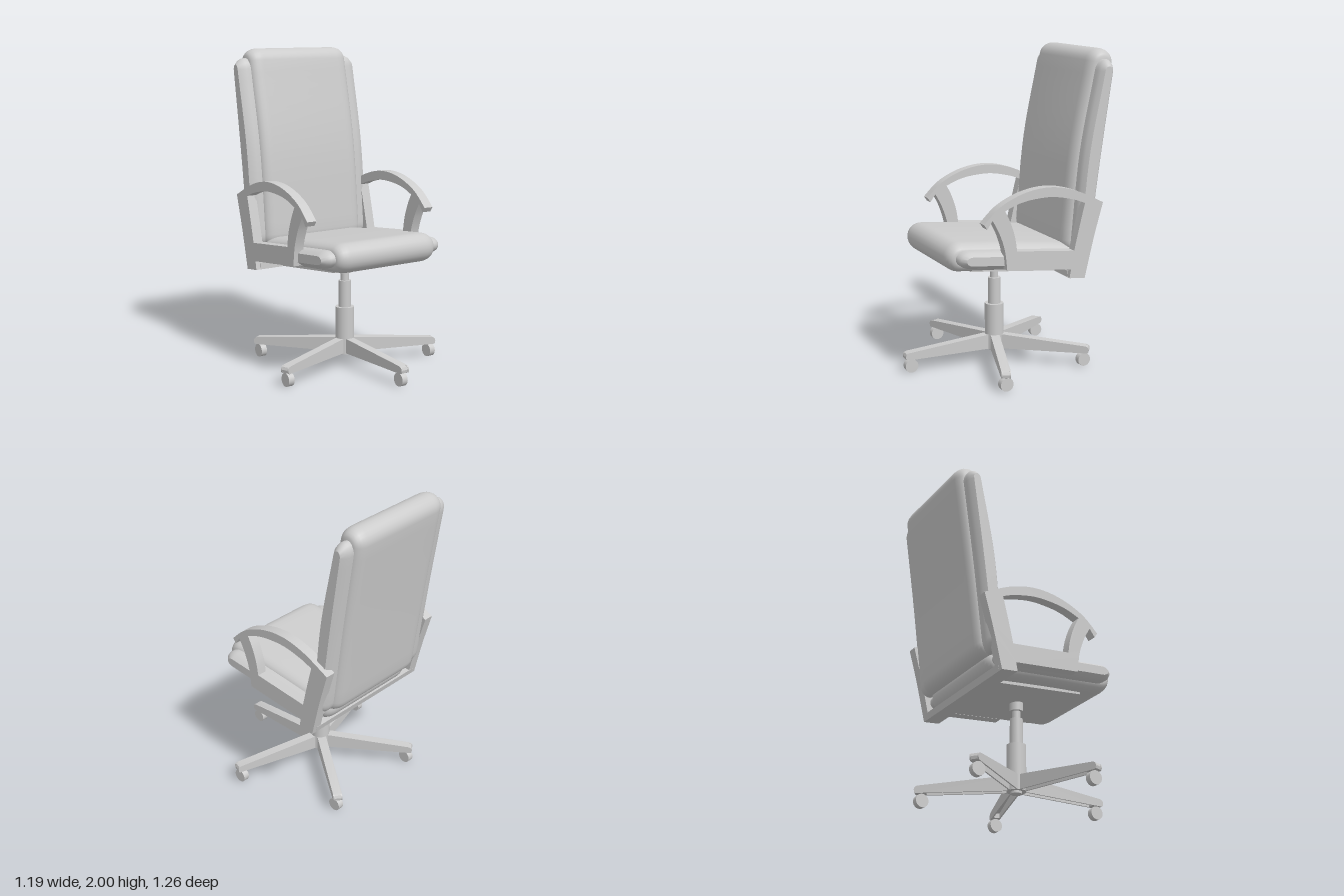
import * as THREE from 'three';
import { toCreasedNormals } from 'three/addons/utils/BufferGeometryUtils.js';

const material = new THREE.MeshStandardMaterial({ color: 0xcccccc });

function add(parent, name, geometry, x = 0, y = 0, z = 0) {
  const mesh = new THREE.Mesh(geometry, material);
  mesh.name = name;
  mesh.position.set(x, y, z);
  parent.add(mesh);
  return mesh;
}

// Closed (z, y) outline around a centre line of [z, y, halfThickness], with round or stretched ends.
// Returns centre and offset vectors so that the outline can be inset.
function outline(path, stretch) {
  const curve = new THREE.CatmullRomCurve3(path.map(([z, y, h]) => new THREE.Vector3(z, y, h)));
  const N = 14, CAP = 12, pts = [];
  const station = t => {
    const p = curve.getPoint(t), d = curve.getTangent(t), l = Math.hypot(d.x, d.y);
    return { p, tz: d.x / l, ty: d.y / l };
  };
  const push = (t, a) => {
    const { p, tz, ty } = station(t);
    const c = Math.cos(a), s = Math.sin(a) * stretch;
    pts.push({ z: p.x, y: p.y, h: p.z, dz: -ty * c + tz * s, dy: tz * c + ty * s });
  };
  for (let i = 0; i < N; i++) push(i / N, 0);
  for (let i = 0; i < CAP; i++) push(1, Math.PI * i / CAP);
  for (let i = N; i > 0; i--) push(i / N, Math.PI);
  for (let i = 0; i < CAP; i++) push(0, Math.PI + Math.PI * i / CAP);
  return pts;
}

// Skin through copies of an outline; each layer is [x, inset]. A large inset closes the end.
function padGeometry(path, layers, stretch = 1) {
  const ring = outline(path, stretch), n = ring.length, pos = [], index = [];
  for (const [x, inset] of layers) {
    for (const p of ring) {
      const r = Math.max(0, p.h - inset);
      pos.push(x, p.y + p.dy * r, p.z + p.dz * r);
    }
  }
  for (let j = 0; j < layers.length - 1; j++) {
    for (let i = 0; i < n; i++) {
      const a = j * n + i, b = j * n + (i + 1) % n;
      index.push(a, a + n, b, b, a + n, b + n);
    }
  }
  // Turn the faces outward if the outline runs the other way round
  let area = 0;
  ring.forEach((p, i) => {
    const q = ring[(i + 1) % n];
    const [z1, y1, z2, y2] = [p.z + p.dz * p.h, p.y + p.dy * p.h, q.z + q.dz * q.h, q.y + q.dy * q.h];
    area += y1 * z2 - y2 * z1;
  });
  if (area > 0) for (let i = 0; i < index.length; i += 3) [index[i + 1], index[i + 2]] = [index[i + 2], index[i + 1]];
  const g = new THREE.BufferGeometry();
  g.setAttribute('position', new THREE.Float32BufferAttribute(pos, 3));
  g.setIndex(index);
  return toCreasedNormals(g, 0.7);
}

// Extrude a (z, y) shape across x, centred on x = 0
function sideExtrude(shape, width) {
  const g = new THREE.ExtrudeGeometry(shape, { depth: width, bevelEnabled: false, curveSegments: 10 });
  g.translate(0, 0, -width / 2);
  g.rotateY(-Math.PI / 2);
  return toCreasedNormals(g, 0.5);
}

const vecs = list => list.map(([a, b]) => new THREE.Vector2(a, b));

function addPad(parent, name, path, wingPath) {
  const half = [[0.29, 0], [0.315, 0.003], [0.335, 0.009], [0.352, 0.019], [0.364, 0.031], [0.37, 0.045], [0.37, 1]];
  const layers = [...half.map(([x, d]) => [-x, d]).reverse(), ...half];
  add(parent, name + 'Cushion', padGeometry(path, layers));
  // Slimmer side bolsters with a chamfered outer edge
  const wing = [[0.33, 1], [0.33, 0], [0.4, 0], [0.425, 0.008], [0.45, 0.026], [0.45, 1]];
  add(parent, name + 'LeftBolster', padGeometry(wingPath, wing, 1.5));
  add(parent, name + 'RightBolster', padGeometry(wingPath, wing.map(([x, d]) => [-x, d]).reverse(), 1.5));
}

function armGeometry() {
  const s = new THREE.Shape();
  s.moveTo(0.3, 1.01);
  s.splineThru(vecs([[0.19, 1.11], [0.03, 1.18], [-0.14, 1.2], [-0.31, 1.165], [-0.495, 1.08]]));
  s.splineThru(vecs([[-0.435, 0.865], [-0.375, 0.615]]));
  s.lineTo(-0.27, 0.625);
  s.lineTo(-0.28, 0.68);
  s.lineTo(0.15, 0.72);
  s.splineThru(vecs([[0.165, 0.84], [0.2, 0.945], [0.245, 1.03]]));
  s.lineTo(0.28, 0.98);
  const hole = new THREE.Path();
  hole.moveTo(0.165, 1.08);
  hole.splineThru(vecs([[0.08, 1.115], [-0.02, 1.135], [-0.15, 1.14], [-0.285, 1.115], [-0.37, 1.085]]));
  hole.splineThru(vecs([[-0.335, 0.945], [-0.3, 0.795]]));
  hole.lineTo(0.085, 0.83);
  hole.splineThru(vecs([[0.1, 0.92], [0.13, 1.01], [0.165, 1.08]]));
  s.holes.push(hole);
  return sideExtrude(s, 0.065);
}

// Star-base leg: an upside-down channel pointing to +z
function makeLeg() {
  const leg = new THREE.Group();
  const wall = new THREE.Shape();
  wall.moveTo(0.02, 0.085);
  wall.lineTo(0.02, 0.18);
  wall.lineTo(0.07, 0.178);
  wall.lineTo(0.59, 0.132);
  wall.quadraticCurveTo(0.615, 0.128, 0.615, 0.108);
  wall.quadraticCurveTo(0.615, 0.085, 0.6, 0.085);
  const top = new THREE.Shape(vecs([[0.02, 0.16], [0.02, 0.18], [0.07, 0.178], [0.59, 0.132], [0.608, 0.125],
    [0.615, 0.108], [0.612, 0.09], [0.6, 0.085], [0.54, 0.085], [0.54, 0.115]]));
  for (const x of [-0.024, 0.024]) add(leg, 'legWall', sideExtrude(wall, 0.009), x);
  add(leg, 'legTop', sideExtrude(top, 0.046));
  return leg;
}

export function createModel() {
  const chair = new THREE.Group();
  chair.name = 'officeChair';

  // Upholstery
  addPad(chair, 'backrest',
    [[-0.385, 0.82, 0.088], [-0.45, 1.37, 0.098], [-0.545, 1.915, 0.085]],
    [[-0.39, 0.83, 0.053], [-0.452, 1.37, 0.062], [-0.537, 1.865, 0.05]]);
  addPad(chair, 'seat',
    [[-0.32, 0.725, 0.085], [0.04, 0.762, 0.087], [0.393, 0.79, 0.09]],
    [[-0.3, 0.727, 0.05], [0.04, 0.76, 0.053], [0.355, 0.787, 0.053]]);

  // Armrests and the frame under the seat
  const arm = armGeometry();
  add(chair, 'leftArmrest', arm, 0.4475);
  add(chair, 'rightArmrest', arm, -0.4475);
  const rearBar = new THREE.Shape(vecs([[-0.375, 0.615], [-0.27, 0.625], [-0.272, 0.665], [-0.386, 0.655]]));
  add(chair, 'rearCrossBar', sideExtrude(rearBar, 0.9));
  const plate = new THREE.Shape(vecs([[-0.27, 0.627], [0.3, 0.68], [0.3, 0.7], [-0.27, 0.665]]));
  add(chair, 'seatPlate', sideExtrude(plate, 0.56));

  // Gas lift column
  const base = new THREE.Group();
  base.name = 'swivelBase';
  base.position.z = 0.015;
  chair.add(base);
  const column = (name, r, y0, y1) =>
    add(base, name, new THREE.CylinderGeometry(r, r, y1 - y0, 32), 0, (y0 + y1) / 2, 0);
  column('lowerColumn', 0.06, 0.16, 0.38);
  column('middleColumn', 0.04, 0.38, 0.55);
  column('piston', 0.026, 0.55, 0.61);
  column('columnCollar', 0.043, 0.6, 0.66);
  column('hub', 0.06, 0.085, 0.175);
  column('hubCap', 0.035, 0.07, 0.09);

  // Five legs, with casters all facing forward
  for (let i = 0; i < 5; i++) {
    const a = i * Math.PI * 2 / 5;
    const leg = makeLeg();
    leg.name = 'leg';
    leg.rotation.y = a;
    base.add(leg);
    const caster = new THREE.Group();
    caster.name = 'caster';
    caster.position.set(Math.sin(a) * 0.58, 0, Math.cos(a) * 0.573);
    base.add(caster);
    add(caster, 'wheel', new THREE.CylinderGeometry(0.042, 0.042, 0.04, 28).rotateZ(Math.PI / 2), 0, 0.042);
    add(caster, 'stem', new THREE.CylinderGeometry(0.012, 0.012, 0.05, 14), 0, 0.095);
  }
  return chair;
}
